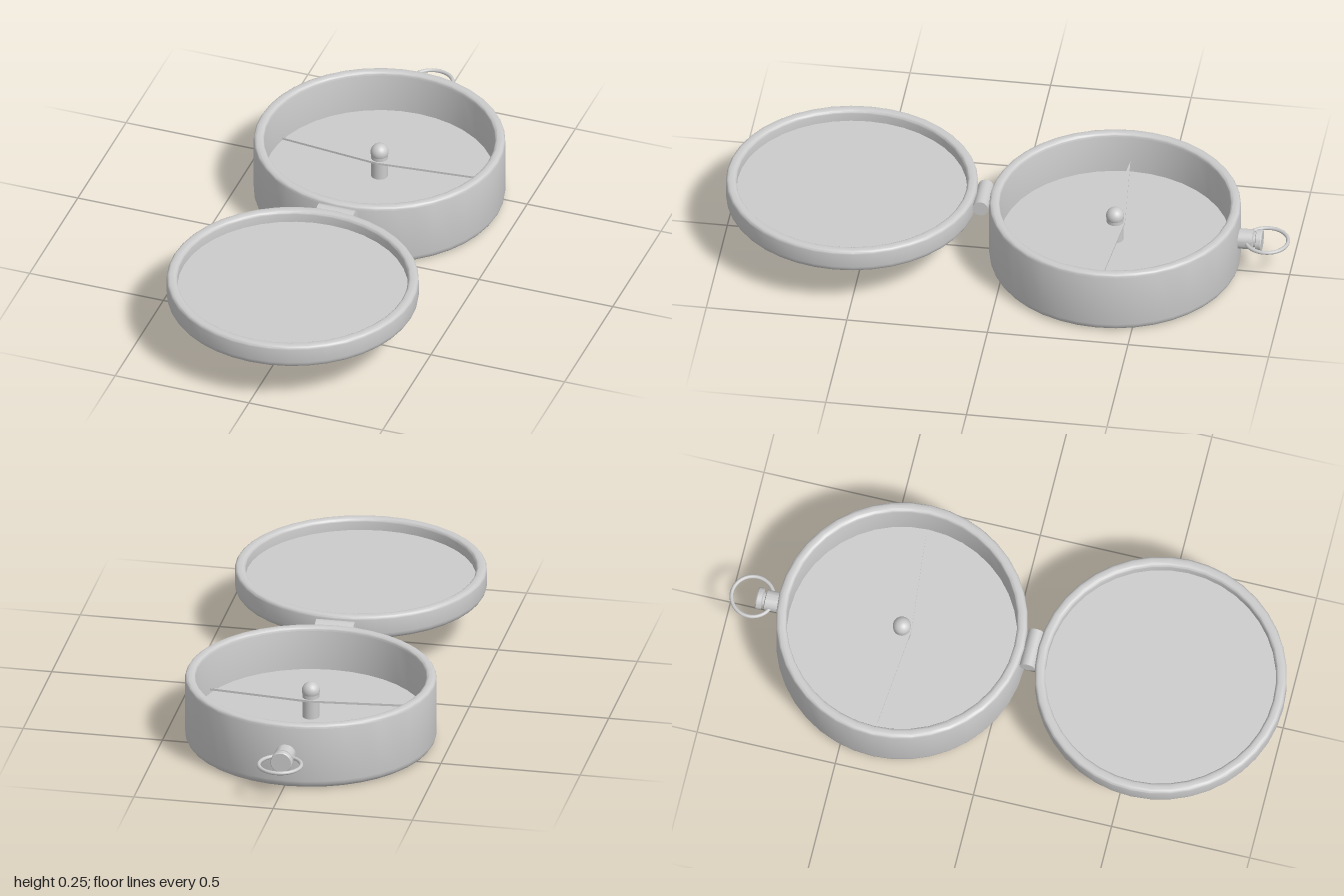
import * as THREE from 'three';
import { toCreasedNormals } from 'three/addons/utils/BufferGeometryUtils.js';

const material = new THREE.MeshStandardMaterial({ color: 0xcccccc });

function addMesh(parent, name, geometry, x = 0, y = 0, z = 0) {
  const mesh = new THREE.Mesh(geometry, material);
  mesh.name = name;
  mesh.position.set(x, y, z);
  parent.add(mesh);
  return mesh;
}

// Points of a quarter circle around (cx, cy), starting at angle a0
function arc(cx, cy, r, a0, steps = 4) {
  return Array.from({ length: steps + 1 }, (_, i) => {
    const a = a0 + (i / steps) * Math.PI / 2;
    return new THREE.Vector2(cx + r * Math.cos(a), cy + r * Math.sin(a));
  });
}

// Round open tray with softened outer edges and rim
function trayGeometry(radius, inner, height, floor, bottomBevel) {
  const rim = 0.013;
  const profile = [
    new THREE.Vector2(0, 0),
    ...arc(radius - bottomBevel, bottomBevel, bottomBevel, -Math.PI / 2),
    ...arc(radius - rim, height - rim, rim, 0),
    ...arc(inner + rim, height - rim, rim, Math.PI / 2),
    new THREE.Vector2(inner, floor),
    new THREE.Vector2(0, floor),
  ];
  return toCreasedNormals(new THREE.LatheGeometry(profile, 40), 0.55);
}

export function createModel() {
  const model = new THREE.Group();
  model.name = 'pocketCompass';
  const cx = -0.008, cz = -0.378;

  // Case and open lid
  addMesh(model, 'case', trayGeometry(0.443, 0.406, 0.245, 0.085, 0.03), cx, 0, cz);
  addMesh(model, 'lid', trayGeometry(0.444, 0.406, 0.092, 0.048, 0.026), 0.004, 0.163, 0.556);

  // Hinge barrel between case and lid
  const hinge = addMesh(model, 'hinge', new THREE.CylinderGeometry(0.028, 0.028, 0.138, 24), 0, 0.218, 0.09);
  hinge.rotation.z = Math.PI / 2;

  // Needle on a domed pivot
  const pivot = new THREE.Group();
  pivot.name = 'pivot';
  pivot.position.set(cx, 0, cz);
  model.add(pivot);
  addMesh(pivot, 'pivotPin', new THREE.CylinderGeometry(0.03, 0.03, 0.106, 24), 0, 0.131, 0);
  addMesh(pivot, 'pivotCap', new THREE.SphereGeometry(0.032, 24, 16), 0, 0.184, 0);

  const diamond = new THREE.Shape([
    new THREE.Vector2(-0.363, 0), new THREE.Vector2(0, -0.035),
    new THREE.Vector2(0.363, 0), new THREE.Vector2(0, 0.035),
  ]);
  const needleGeometry = new THREE.ExtrudeGeometry(diamond, { depth: 0.008, bevelEnabled: false });
  needleGeometry.rotateX(-Math.PI / 2);
  addMesh(pivot, 'needle', needleGeometry, 0, 0.152, 0);

  // Stem with a groove and a flange, pointing backwards
  const stemProfile = [
    [0, -0.02], [0.036, -0.02], [0.036, 0.05], [0.027, 0.053], [0.027, 0.06],
    [0.039, 0.063], [0.039, 0.079], [0.036, 0.083], [0, 0.083],
  ].map(([r, h]) => new THREE.Vector2(r, h));
  const stem = addMesh(model, 'stem',
    toCreasedNormals(new THREE.LatheGeometry(stemProfile, 24), 0.5), cx, 0.133, -0.819);
  stem.rotation.x = -Math.PI / 2;

  // Carrying ring lying flat through the stem
  const ring = addMesh(model, 'ring', new THREE.TorusGeometry(0.075, 0.007, 10, 40), cx, 0.134, -0.918);
  ring.rotation.x = Math.PI / 2;

  return model;
}
